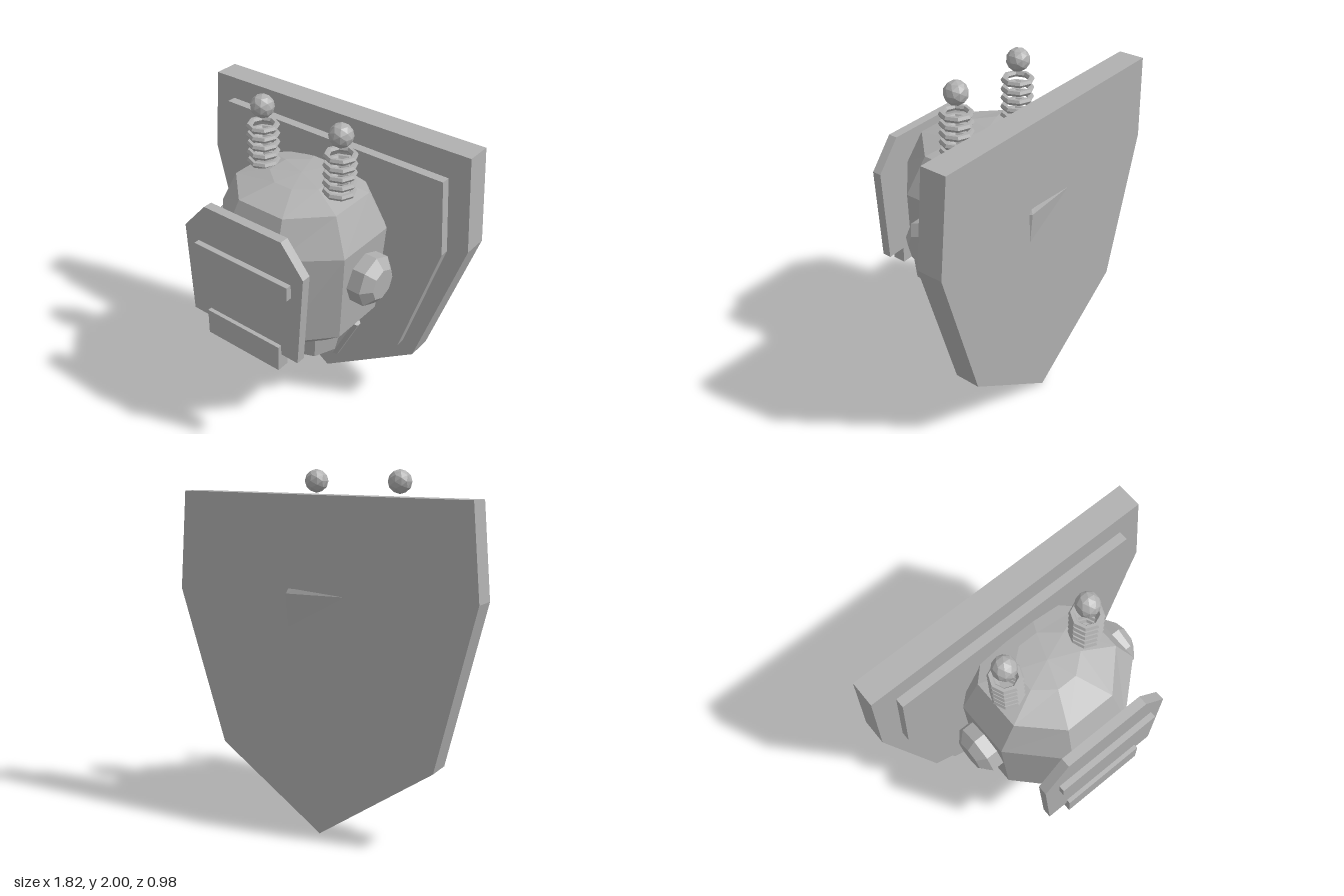
import * as THREE from 'three';

export function createModel() {
  const model = new THREE.Group();
  const grey = new THREE.MeshStandardMaterial({ color: 0xb0b0b0 });
  grey.name = 'grey';
  grey.flatShading = true;

  function add(name, geometry, x = 0, y = 0, z = 0) {
    const mesh = new THREE.Mesh(geometry, grey);
    mesh.name = name;
    mesh.position.set(x, y, z);
    model.add(mesh);
    return mesh;
  }

  // Flat outline in x/y, extruded between two depths
  function plate(name, points, z0, z1) {
    const shape = new THREE.Shape(points.map(([x, y]) => new THREE.Vector2(x, y)));
    return add(name, new THREE.ExtrudeGeometry(shape, { depth: z1 - z0, bevelEnabled: false }), 0, 0, z0);
  }

  function box(name, x0, x1, y0, y1, z0, z1) {
    return add(name, new THREE.BoxGeometry(x1 - x0, y1 - y0, z1 - z0),
      (x0 + x1) / 2, (y0 + y1) / 2, (z0 + z1) / 2);
  }

  // Skin over a stack of rings, closed at both ends
  function loft(rings, bottom, top) {
    const pos = [];
    const tri = (...corners) => corners.forEach((c) => pos.push(...c));
    const n = rings[0].length;
    const last = rings.length - 1;
    for (let i = 0; i < n; i++) {
      const j = (i + 1) % n;
      for (let k = 0; k < last; k++) {
        const [lo, up] = [rings[k], rings[k + 1]];
        tri(lo[i], lo[j], up[j]);
        tri(lo[i], up[j], up[i]);
      }
      tri(bottom, rings[0][j], rings[0][i]);
      tri(top, rings[last][i], rings[last][j]);
    }
    const g = new THREE.BufferGeometry();
    g.setAttribute('position', new THREE.Float32BufferAttribute(pos, 3));
    g.computeVertexNormals();
    return g;
  }

  // Wall shield and its raised panel
  plate('shield', [[-0.87, 1.855], [0.86, 1.88], [0.91, 1.325], [0.635, 0.445],
    [0, 0.0], [-0.68, 0.455], [-0.91, 1.35]], -0.475, -0.325);
  plate('shieldPanel', [[-0.745, 1.725], [0.745, 1.725], [0.785, 1.28], [0.56, 0.515],
    [-0.005, 0.15], [-0.57, 0.515], [-0.79, 1.28]], -0.325, -0.27);

  // Eight-sided head; its widest edge just pierces the back of the shield
  const zc = -0.04;
  const ring = (y, wide, narrow, deep, mid) =>
    [[narrow, deep], [wide, mid], [wide, -mid], [narrow, -deep],
      [-narrow, -deep], [-wide, -mid], [-wide, mid], [-narrow, deep]]
      .map(([x, z]) => [x, y, z + zc]);
  const brow = [[0.18, 0.40], [0.45, 0.16], [0.45, -0.23], [0.19, -0.487],
    [-0.16, -0.475], [-0.455, -0.21], [-0.455, 0.12], [-0.19, 0.40]].map(([x, z]) => [x, 1.34, z]);
  const jaw = [[0.185, 0.40], [0.42, 0.14], [0.42, -0.21], [0.18, -0.45],
    [-0.16, -0.45], [-0.445, -0.21], [-0.445, 0.13], [-0.19, 0.40]].map(([x, z]) => [x, 0.78, z]);
  add('head', loft([
    ring(0.64, 0.28, 0.13, 0.285, 0.12),
    jaw,
    brow,
    ring(1.55, 0.35, 0.15, 0.35, 0.15),
    ring(1.605, 0.17, 0.06, 0.16, 0.07),
  ], [0, 0.64, zc], [0, 1.618, zc]));

  // Face plate, visor and mouth
  plate('facePlate', [[-0.27, 1.53], [-0.425, 1.355], [-0.4, 0.78], [0.37, 0.775],
    [0.405, 1.355], [0.26, 1.53]], 0.4, 0.455);
  box('visor', -0.33, 0.325, 1.205, 1.29, 0.455, 0.49);
  box('mouth', -0.27, 0.255, 0.675, 0.84, 0.4, 0.48);

  // Neck
  add('neck', new THREE.CylinderGeometry(0.24, 0.22, 0.28, 8), -0.02, 0.51, -0.16);

  for (const side of [1, -1]) {
    const label = side > 0 ? 'left' : 'right';

    // Bevelled ear knob
    const profile = [[0, -0.08], [0.153, -0.08], [0.153, 0.075], [0.093, 0.125], [0, 0.125]]
      .map(([r, h]) => new THREE.Vector2(r, h));
    const ear = add(label + 'Ear', new THREE.LatheGeometry(profile, 8), side * 0.447, 1.12, -0.037);
    ear.rotation.z = -side * Math.PI / 2;

    // Slanted neck rod
    const rod = add(label + 'NeckRod', new THREE.CylinderGeometry(0.03, 0.03, 0.34, 6),
      side * 0.247, 0.485, -0.168);
    rod.rotation.z = -side * 0.44;

    // Antenna of stacked rings with a ball on top
    const x = side > 0 ? 0.26 : -0.27;
    for (let i = 0; i < 5; i++) {
      const coil = add(label + 'AntennaRing', new THREE.TorusGeometry(0.077, 0.018, 6, 8),
        x, 1.602 + i * 0.0535, -0.037);
      coil.rotation.x = Math.PI / 2;
    }
    add(label + 'AntennaBall', new THREE.IcosahedronGeometry(0.068, 1), x, 1.932, -0.037);
  }

  return model;
}
